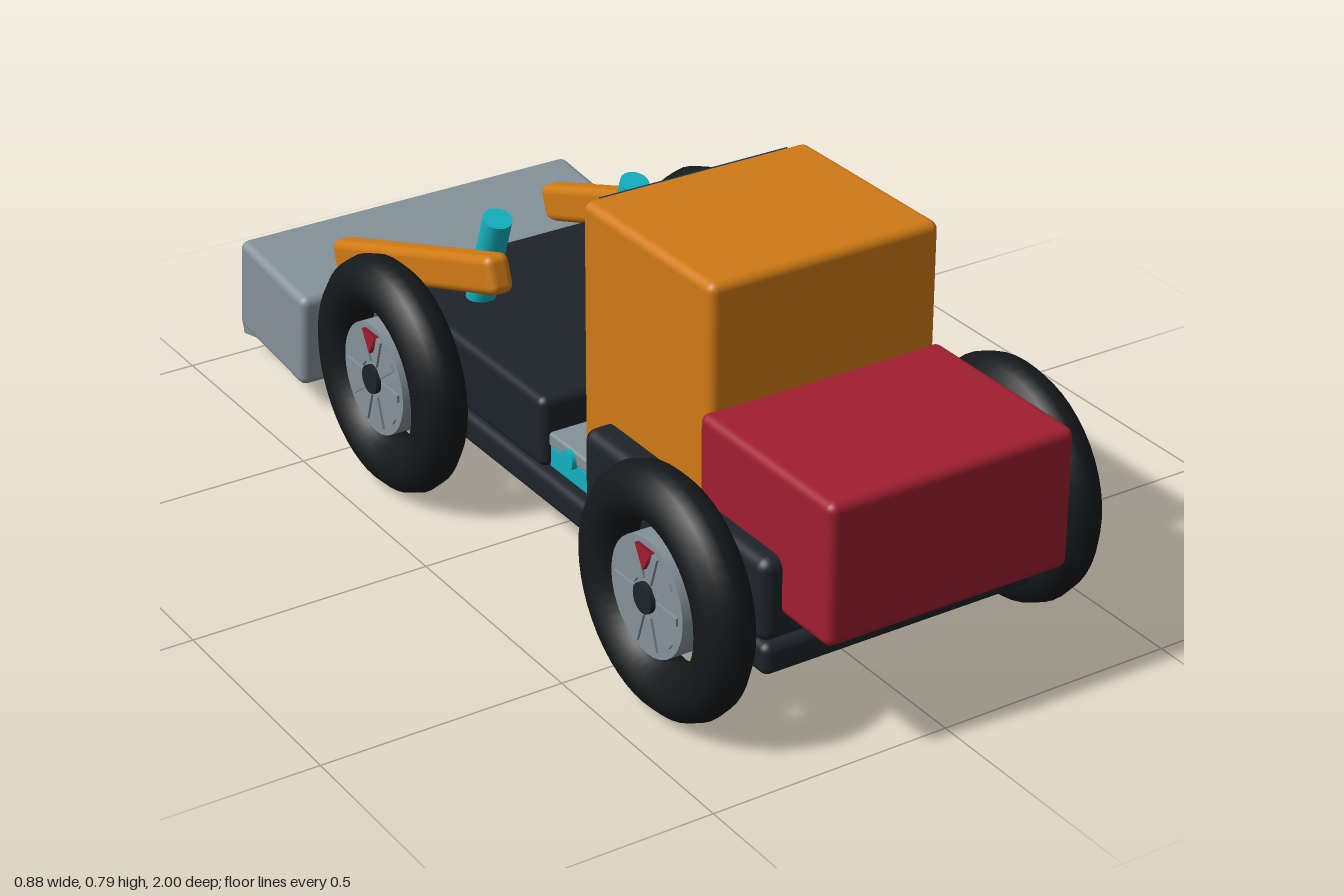
import * as THREE from 'three';
import { RoundedBoxGeometry } from 'three/addons/geometries/RoundedBoxGeometry.js';

const mat = (color) => new THREE.MeshStandardMaterial({ color });
const ORANGE = mat(0xd07a14), RED = mat(0xa01e30), STEEL = mat(0x84929a);
const DARK = mat(0x1e242a), TIRE = mat(0x16181a), CYAN = mat(0x12b2c0), GLASS = mat(0x16344a);

function add(parent, name, geometry, material, x, y, z, tilt = 0) {
  const mesh = new THREE.Mesh(geometry, material);
  mesh.name = name;
  mesh.position.set(x, y, z);
  mesh.rotation.x = tilt;
  parent.add(mesh);
  return mesh;
}
const box = (w, h, d, r = 0.018) => new RoundedBoxGeometry(w, h, d, 3, r);
const rod = (r, length, sides = 24) => new THREE.CylinderGeometry(r, r, length, sides);
const crossRod = (r, length) => rod(r, length).rotateZ(Math.PI / 2);
const disc = (r, depth, sides = 32) => rod(r, depth, sides).rotateX(Math.PI / 2);

// Wheel with its outer face towards local +z
function createWheel() {
  const wheel = new THREE.Group();
  add(wheel, 'tire', new THREE.TorusGeometry(0.19, 0.055, 12, 48), TIRE, 0, 0, 0);
  add(wheel, 'rim', disc(0.117, 0.08), STEEL, 0, 0, 0);
  add(wheel, 'hub', disc(0.03, 0.1), DARK, 0, 0, 0);
  for (let i = 0; i < 10; i++) {
    const a = ((i + 0.5) / 10) * Math.PI * 2;
    const spoke = add(wheel, 'spoke', new THREE.BoxGeometry(0.065, 0.016, 0.09), STEEL,
      Math.sin(a) * 0.07, Math.cos(a) * 0.07, 0);
    spoke.rotation.z = Math.PI / 2 - a;
  }
  add(wheel, 'valveMarker', disc(0.03, 0.012, 3), RED, 0, 0.088, 0.043);
  return wheel;
}

export function createModel() {
  const model = new THREE.Group();
  model.name = 'bucketTractor';

  // Chassis and body blocks
  add(model, 'chassisPlate', box(0.6, 0.065, 1.3), DARK, 0, 0.163, 0.21);
  add(model, 'engineBase', box(0.61, 0.168, 0.6, 0.024), DARK, 0, 0.283, 0.56);
  add(model, 'liftBase', box(0.585, 0.15, 0.645), DARK, 0, 0.27, -0.227);
  add(model, 'engineHood', box(0.53, 0.285, 0.41), RED, 0, 0.393, 0.795);

  // Cab and sloping windshield
  add(model, 'cab', box(0.5, 0.508, 0.43), ORANGE, 0, 0.532, 0.391);
  add(model, 'windshield', new THREE.BoxGeometry(0.42, 0.3, 0.016), GLASS, 0, 0.63, 0.169, 0.085);

  // Articulated joint between the two body halves
  add(model, 'jointPlate', box(0.55, 0.03, 0.17, 0.006), STEEL, 0, 0.257, 0.173);
  add(model, 'jointBlock', box(0.545, 0.05, 0.17, 0.006), CYAN, 0, 0.22, 0.173);
  add(model, 'jointPost', rod(0.04, 0.22), CYAN, 0, 0.28, 0.167);
  add(model, 'jointPin', crossRod(0.02, 0.57), CYAN, 0, 0.25, 0.173);

  // Axles and wheels
  for (const z of [0.67, -0.325]) {
    add(model, 'axle', crossRod(0.04, 0.72), STEEL, 0, 0.18, z);
    for (const side of [1, -1]) {
      const wheel = createWheel();
      wheel.name = 'wheel';
      wheel.position.set(side * 0.385, 0.246, z);
      wheel.rotation.y = (side * Math.PI) / 2;
      model.add(wheel);
    }
  }

  // Lift arms and hydraulic cylinders
  for (const side of [1, -1]) {
    add(model, 'liftArm', box(0.055, 0.08, 0.68), ORANGE, side * 0.253, 0.405, -0.435, -0.333);
    add(model, 'liftCylinder', rod(0.03, 0.43), CYAN, side * 0.16, 0.342, -0.356, 0.35);
  }

  // Bucket with a row of teeth
  add(model, 'bucket', box(0.8, 0.21, 0.283), STEEL, 0, 0.175, -0.818, 0.1);
  for (let i = 0; i < 8; i++) {
    add(model, 'bucketTooth', box(0.055, 0.028, 0.12, 0.004), STEEL, (i - 3.5) * 0.1, 0.074, -0.939, -0.22);
  }
  return model;
}
